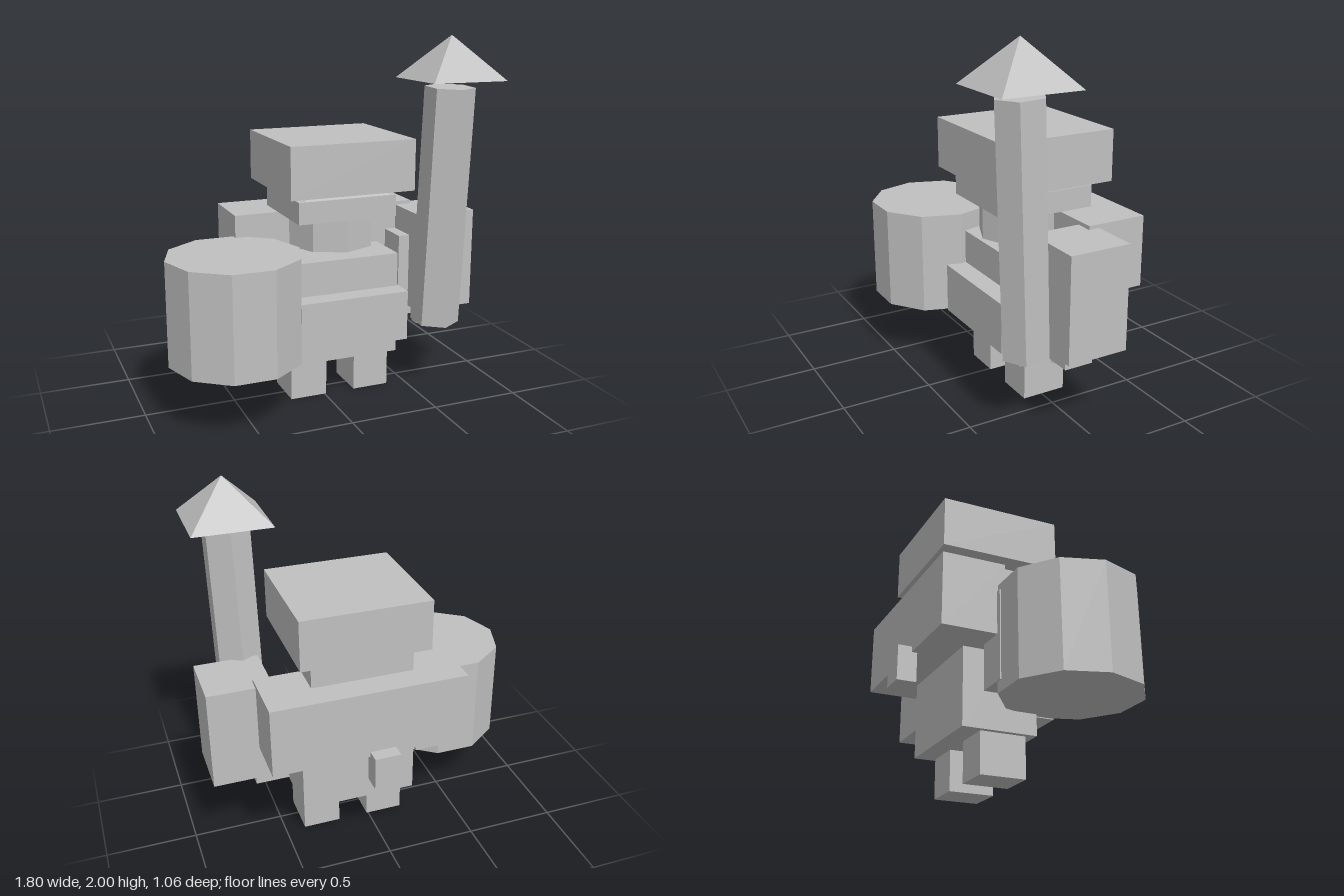
import * as THREE from 'three';

export function createModel() {
  const model = new THREE.Group();
  const grey = new THREE.MeshStandardMaterial({ color: 0xc0c0c0, flatShading: true });
  grey.name = 'plain grey';

  const add = (name, geometry) => {
    const mesh = new THREE.Mesh(geometry, grey);
    mesh.name = name;
    model.add(mesh);
    return mesh;
  };

  // Box given by its limits on each axis
  const box = (name, [x0, x1], [y0, y1], [z0, z1]) =>
    add(name, new THREE.BoxGeometry(x1 - x0, y1 - y0, z1 - z0))
      .position.set((x0 + x1) / 2, (y0 + y1) / 2, (z0 + z1) / 2);

  // Upright prism or frustum with a given number of sides
  const prism = (name, sides, rTop, rBottom, [y0, y1], x, z, turn = 0) => {
    const mesh = add(name, new THREE.CylinderGeometry(rTop, rBottom, y1 - y0, sides));
    mesh.position.set(x, (y0 + y1) / 2, z);
    mesh.rotation.y = turn;
    return mesh;
  };

  // Legs and torso
  box('rightLeg', [-0.2, 0.01], [0, 0.22], [-0.14, 0.11]);
  box('leftLeg', [0.18, 0.39], [0, 0.22], [-0.14, 0.11]);
  box('torso', [-0.23, 0.42], [0.22, 0.8], [-0.25, 0.16]);
  box('bellyPlate', [-0.2, 0.43], [0.33, 0.61], [0.1, 0.275]);
  box('shoulders', [-0.44, 0.635], [0.64, 1.03], [-0.455, -0.115]);
  box('backPeg', [-0.04, 0.105], [0.48, 0.67], [-0.53, -0.425]);

  // Head and hat
  const headX = 0.095, headZ = -0.045;
  prism('face', 8, 0.245, 0.245, [0.85, 1.03], headX, headZ);
  box('brow', [-0.19, 0.375], [1.03, 1.15], [-0.305, 0.215]);
  prism('hatBase', 4, 0.17 * Math.SQRT2, 0.25 * Math.SQRT2, [1.15, 1.19], headX, headZ, Math.PI / 4);
  box('hat', [-0.26, 0.45], [1.18, 1.46], [-0.38, 0.285]);

  // Arms
  box('rightArm', [-0.47, -0.285], [0.395, 0.87], [-0.16, 0.065]);
  box('leftArm', [0.475, 0.66], [0.395, 0.87], [-0.16, 0.065]);
  box('leftSleeve', [0.54, 0.895], [0.445, 1.01], [-0.175, 0.165]);
  box('leftHand', [0.595, 0.805], [0.37, 0.45], [-0.035, 0.125]);
  prism('handKnob', 6, 0.053, 0.053, [0.33, 0.37], 0.64, 0.047);

  // Ten-sided drum at the right side
  prism('drum', 10, 0.362, 0.362, [0.335, 0.905], -0.542, 0.19, Math.PI / 10);

  // Leaning hexagonal staff with a floating pyramid tip
  const foot = new THREE.Vector3(0.62, 0.408, 0.24);
  const top = new THREE.Vector3(0.64, 1.73, 0.295);
  const lean = top.clone().sub(foot);
  const staff = add('staff', new THREE.CylinderGeometry(0.135, 0.135, lean.length(), 6));
  staff.position.addVectors(foot, top).multiplyScalar(0.5);
  staff.quaternion.setFromUnitVectors(new THREE.Vector3(0, 1, 0), lean.normalize());
  prism('staffTip', 4, 0, 0.215 * Math.SQRT2, [1.77, 2], 0.64, 0.295, Math.PI / 4);

  return model;
}
